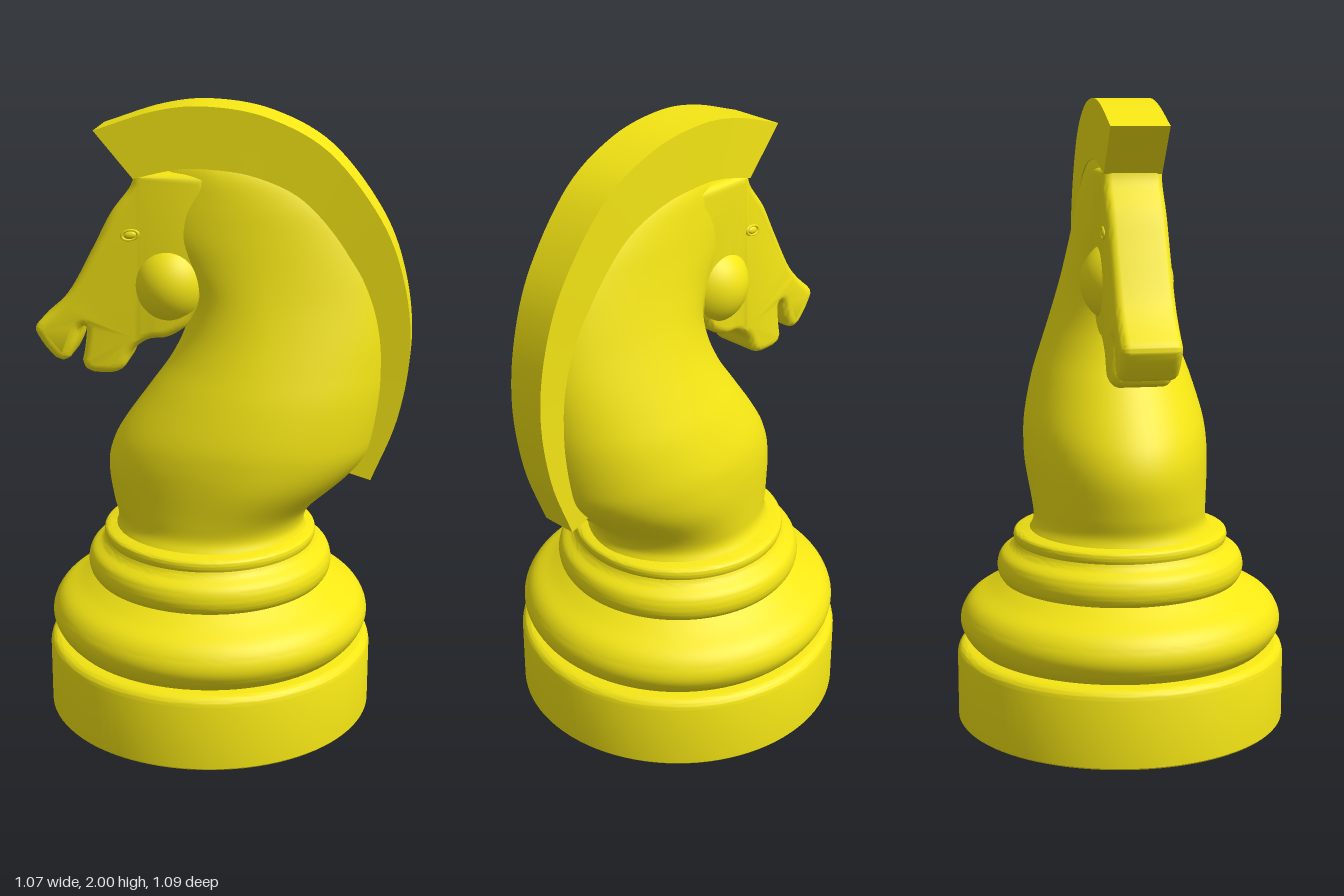
import * as THREE from 'three';
import { toCreasedNormals } from 'three/addons/utils/BufferGeometryUtils.js';

const material = new THREE.MeshStandardMaterial({ color: 0xf5e614 });

function part(name, geometry, crease) {
  const mesh = new THREE.Mesh(crease ? toCreasedNormals(geometry, crease) : geometry, material);
  mesh.name = name;
  return mesh;
}

// Smooth curve through rows of up to three numbers, sampled evenly per row
function sample(rows, n) {
  const curve = new THREE.CatmullRomCurve3(rows.map(r => new THREE.Vector3(r[0], r[1], r[2] ?? 0)), false, 'catmullrom');
  return Array.from({ length: n + 1 }, (_, i) => curve.getPoint(i / n));
}

// Skin over equal-length closed rings, capped at both ends
function loft(rings) {
  const n = rings[0].length, pos = [], index = [];
  for (const ring of rings) for (const p of ring) pos.push(...p);
  for (let i = 0; i < rings.length - 1; i++) {
    for (let j = 0; j < n; j++) {
      const a = i * n + j, b = i * n + (j + 1) % n;
      index.push(a, a + n, b, b, a + n, b + n);
    }
  }
  const last = (rings.length - 1) * n;
  for (let j = 1; j < n - 1; j++) {
    index.push(0, j, j + 1, last, last + j + 1, last + j);
  }
  const g = new THREE.BufferGeometry();
  g.setAttribute('position', new THREE.Float32BufferAttribute(pos, 3));
  g.setIndex(index);
  g.computeVertexNormals();
  return g;
}

// Turned foot: plinth, bulge and collar
function makeBase() {
  const v = (x, y) => new THREE.Vector2(x, y);
  const path = new THREE.Path();
  path.moveTo(0, 0).lineTo(0.53, 0).lineTo(0.534, 0.005).lineTo(0.534, 0.215);
  path.splineThru([v(0.529, 0.233), v(0.515, 0.246), v(0.497, 0.25)]);
  path.lineTo(0.48, 0.252);
  path.splineThru([v(0.505, 0.28), v(0.522, 0.32), v(0.516, 0.36), v(0.488, 0.4), v(0.43, 0.435), v(0.385, 0.465)]);
  path.splineThru([v(0.397, 0.485), v(0.4, 0.515), v(0.388, 0.548), v(0.355, 0.572), v(0.343, 0.59)]);
  path.splineThru([v(0.347, 0.605), v(0.343, 0.622), v(0.325, 0.63)]);
  path.lineTo(0, 0.632);
  return part('base', new THREE.LatheGeometry(path.getPoints(4), 96), 0.6);
}

// Neck: teardrop sections, narrow at the mane and round at the chest
function makeNeck() {
  // height, back, front, widest point, half width
  const rows = [
    [0.62, -0.32, 0.31, 0.0, 0.3],
    [0.66, -0.31, 0.3, -0.01, 0.28],
    [0.72, -0.34, 0.315, -0.04, 0.283],
    [0.82, -0.45, 0.33, -0.1, 0.295],
    [0.9, -0.515, 0.317, -0.12, 0.297],
    [0.98, -0.54, 0.275, -0.14, 0.29],
    [1.1, -0.56, 0.19, -0.18, 0.26],
    [1.2, -0.567, 0.12, -0.2, 0.225],
    [1.3, -0.567, 0.075, -0.21, 0.19],
    [1.4, -0.555, 0.065, -0.2, 0.16],
    [1.5, -0.53, 0.12, -0.18, 0.137],
    [1.6, -0.485, 0.19, -0.14, 0.12],
    [1.7, -0.41, 0.2, -0.1, 0.106],
    [1.79, -0.29, 0.13, -0.04, 0.09],
    [1.85, -0.1, 0.06, -0.01, 0.06],
  ];
  const n = 70, sides = 56;
  const shape = sample(rows.map(r => [r[1], r[2], r[4]]), n);
  const spine = sample(rows.map(r => [r[3], r[0]]), n);
  const rings = shape.map((s, i) => Array.from({ length: sides }, (_, j) => {
    const a = j / sides * Math.PI * 2, c = Math.cos(a), mid = spine[i].x;
    const x = c > 0 ? mid + (s.y - mid) * c : mid + (mid - s.x) * c;
    const w = s.z * Math.sign(Math.sin(a)) * Math.abs(Math.sin(a)) ** (c < 0 ? 1.1 : 1);
    return [x, spine[i].y, w];
  }));
  return part('neck', loft(rings));
}

// Mane: squared crest sweeping from the back of the neck over the brow
function makeMane() {
  // outer x, outer y, half width
  const outer = sample([
    [-0.527, 0.82, 0.06], [-0.605, 1.03, 0.061], [-0.638, 1.26, 0.063], [-0.612, 1.475, 0.067],
    [-0.535, 1.67, 0.073], [-0.375, 1.87, 0.08], [-0.188, 1.97, 0.085], [0.0, 2.0, 0.088],
    [0.16, 1.982, 0.089], [0.347, 1.92, 0.09],
  ], 63);
  const inner = sample([
    [-0.41, 0.855], [-0.48, 1.05], [-0.51, 1.26], [-0.49, 1.43], [-0.43, 1.57],
    [-0.3, 1.72], [-0.15, 1.79], [0.0, 1.81], [0.1, 1.805], [0.225, 1.775],
  ], 63);
  const rings = outer.map((o, i) => {
    const p = inner[i], w = o.z;
    return [[p.x, p.y, -w], [p.x, p.y, w], [o.x, o.y, w], [o.x, o.y, -w]];
  });
  return part('mane', loft(rings), 0.6);
}

// Head: rounded side profile with an open mouth
function makeHead() {
  const v = (x, y) => new THREE.Vector2(x, y);
  const s = new THREE.Shape();
  s.moveTo(0.0, 1.79).lineTo(-0.06, 1.5).lineTo(0.04, 1.35);
  s.splineThru([v(0.07, 1.305), v(0.125, 1.272), v(0.185, 1.262), v(0.235, 1.225), v(0.262, 1.17), v(0.3, 1.148), v(0.36, 1.146)]);
  s.splineThru([v(0.388, 1.158), v(0.4, 1.185)]);
  s.splineThru([v(0.392, 1.225), v(0.385, 1.285), v(0.393, 1.297), v(0.405, 1.285), v(0.42, 1.235), v(0.44, 1.192)]);
  s.splineThru([v(0.462, 1.182), v(0.488, 1.19)]);
  s.splineThru([v(0.52, 1.225), v(0.548, 1.27), v(0.55, 1.29), v(0.54, 1.305)]);
  s.splineThru([v(0.48, 1.36), v(0.425, 1.43), v(0.355, 1.56), v(0.3, 1.665), v(0.24, 1.745), v(0.225, 1.79)]);
  s.closePath();
  const bevel = 0.028, half = 0.093;
  const g = new THREE.ExtrudeGeometry(s, {
    depth: 2 * (half - bevel), curveSegments: 4, bevelEnabled: true,
    bevelThickness: bevel, bevelSize: bevel, bevelOffset: -bevel, bevelSegments: 5,
  });
  g.translate(0, 0, -(half - bevel));
  return part('head', g, 0.65);
}

function ellipsoid(name, x, y, z, rx, ry, rz) {
  const mesh = part(name, new THREE.SphereGeometry(1, 40, 28));
  mesh.position.set(x, y, z);
  mesh.scale.set(rx, ry, rz);
  return mesh;
}

export function createModel() {
  const model = new THREE.Group();
  model.name = 'chessKnight';
  model.position.z = -0.013;
  model.add(makeBase());

  // Horse is built facing +x, then turned on the base
  const horse = new THREE.Group();
  horse.name = 'horse';
  horse.rotation.y = 2.18;
  horse.add(makeNeck(), makeMane(), makeHead());
  horse.add(ellipsoid('cheeks', 0.12, 1.44, 0, 0.13, 0.14, 0.147));

  // Eyes: almond rim around a small ball
  for (const side of [-1, 1]) {
    const eye = new THREE.Group();
    eye.name = side > 0 ? 'rightEye' : 'leftEye';
    const rim = part('eyeRim', new THREE.TorusGeometry(0.026, 0.006, 8, 28));
    rim.scale.y = 0.6;
    eye.add(rim, ellipsoid('eyeball', 0, 0, 0, 0.02, 0.012, 0.008));
    eye.position.set(0.236, 1.6, side * 0.092);
    eye.rotation.z = -0.2;
    horse.add(eye);
  }
  model.add(horse);

  const root = new THREE.Group();
  root.name = 'model';
  root.add(model);
  return root;
}
